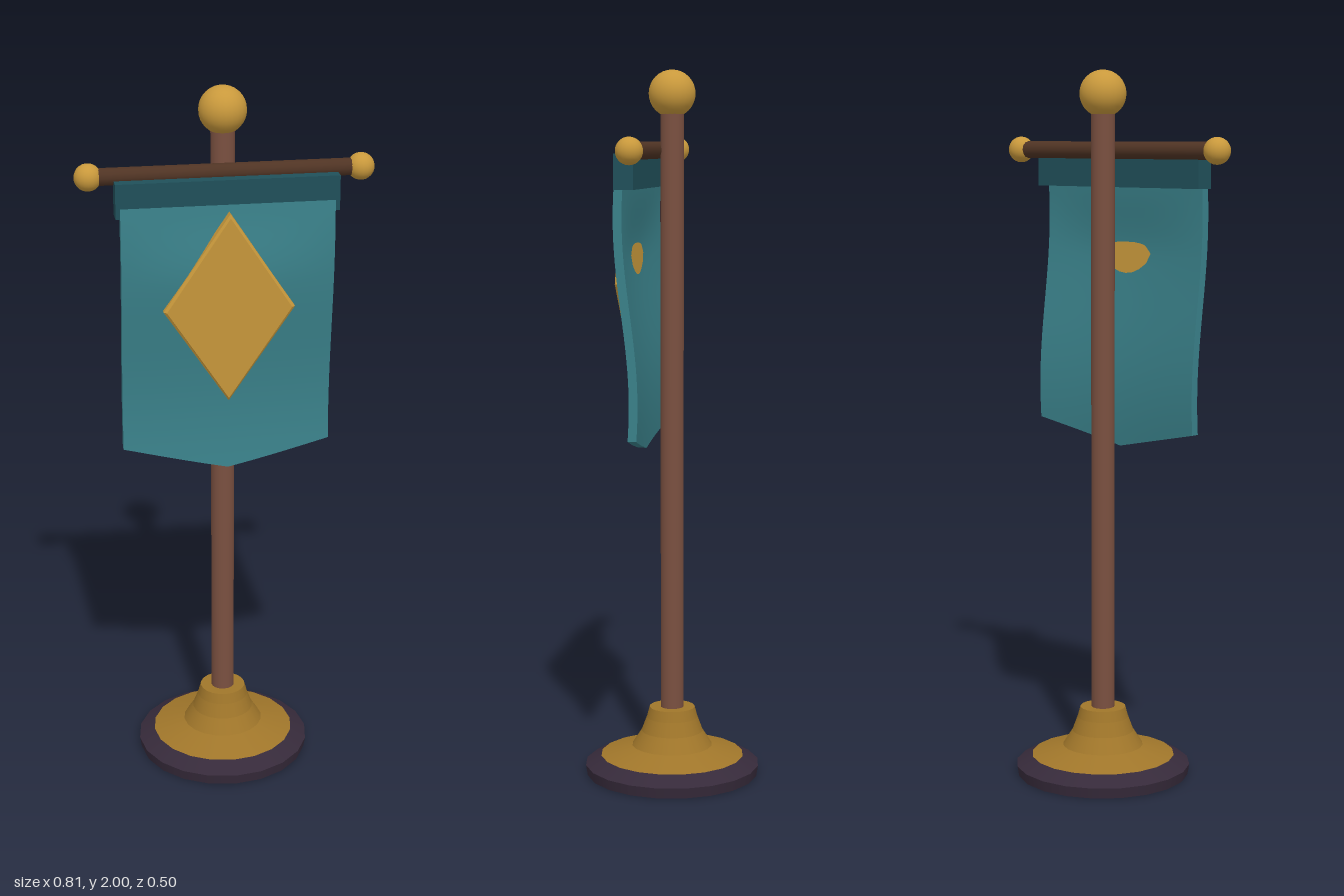
import * as THREE from 'three';

const mat = (name, color, extra = {}) => {
  const m = new THREE.MeshStandardMaterial({ color, ...extra });
  m.name = name;
  return m;
};

export function createModel() {
  const group = new THREE.Group();
  const gold = mat('gold', 0xc9993c);
  const darkGold = mat('dark gold', 0xa0762a);
  const wood = mat('pole wood', 0x7a5040);
  const darkWood = mat('crossbar wood', 0x503424);
  const teal = mat('teal cloth', 0x3a818a);
  const darkTeal = mat('dark teal cloth', 0x20505a);
  const plum = mat('dark plum', 0x362a3a);

  const add = (name, geometry, material, x = 0, y = 0, z = 0) => {
    const mesh = new THREE.Mesh(geometry, material);
    mesh.name = name;
    mesh.position.set(x, y, z);
    group.add(mesh);
    return mesh;
  };
  // Stacked conical bands, each with its own crisp edge
  const bands = (name, profile, material) => {
    for (let i = 0; i < profile.length - 1; i++) {
      const [r0, y0] = profile[i], [r1, y1] = profile[i + 1];
      add(name, new THREE.CylinderGeometry(r1, r0, y1 - y0, 20), material, 0, (y0 + y1) / 2, 0);
    }
  };

  // Base and pole
  bands('baseRim', [[0.245, 0], [0.25, 0.03], [0.205, 0.056]], plum);
  bands('baseFoot', [[0.205, 0.056], [0.115, 0.083]], darkGold);
  const collar = [[0.115, 0.083], [0.088, 0.125], [0.073, 0.165], [0.065, 0.195], [0, 0.195]];
  bands('baseCollar', collar.slice(0, 4), darkGold);
  add('pole', new THREE.CylinderGeometry(0.033, 0.033, 1.74, 16), wood, 0, 1.04, 0);
  add('finial', new THREE.SphereGeometry(0.065, 24, 16), gold, 0, 1.935, 0);

  // Crossbar with end balls
  add('crossbar', new THREE.CylinderGeometry(0.024, 0.024, 0.72, 12), darkWood, 0, 1.78, 0.05).rotation.z = Math.PI / 2;
  for (const s of [-1, 1]) add('crossbarBall', new THREE.SphereGeometry(0.037, 20, 14), gold, s * 0.366, 1.78, 0.05);

  // Cloth sleeve under the crossbar
  add('bannerSleeve', new THREE.BoxGeometry(0.6, 0.095, 0.053), darkTeal, 0, 1.725, 0.079);

  // Banner: a thin slab, waved down its length, bulged at the middle, pointed at the bottom
  const cloth = new THREE.BoxGeometry(0.576, 1, 0.024, 24, 30, 1);
  const p = cloth.attributes.position;
  for (let i = 0; i < p.count; i++) {
    const x = p.getX(i), t = 0.5 - p.getY(i);
    const middle = 1 - Math.abs(x) / 0.288;
    const y = 1.72 - t * (0.715 + 0.06 * middle);
    const wave = 0.077 + 0.021 * Math.cos((1.6 - y) * 2 * Math.PI);
    const bulge = 0.02 * Math.cos((x / 0.288) * Math.PI / 2) * THREE.MathUtils.smoothstep(t, 0.05, 0.32);
    p.setXYZ(i, x, y, p.getZ(i) + wave + bulge);
  }
  cloth.computeVertexNormals();
  add('banner', cloth, teal);

  // Diamond emblem, leaning with the cloth
  const w = 0.17, h = 0.26;
  const diamond = new THREE.Shape([[0, -h], [w, 0], [0, h], [-w, 0]].map(([x, y]) => new THREE.Vector2(x, y)));
  const emblem = new THREE.ExtrudeGeometry(diamond, {
    depth: 0.022, bevelEnabled: true, bevelThickness: 0.006, bevelSize: 0.007, bevelSegments: 1,
  });
  emblem.translate(0, 0, -0.011);
  add('diamondEmblem', emblem, gold, 0, 1.42, 0.112).rotation.x = 0.052;

  return group;
}
